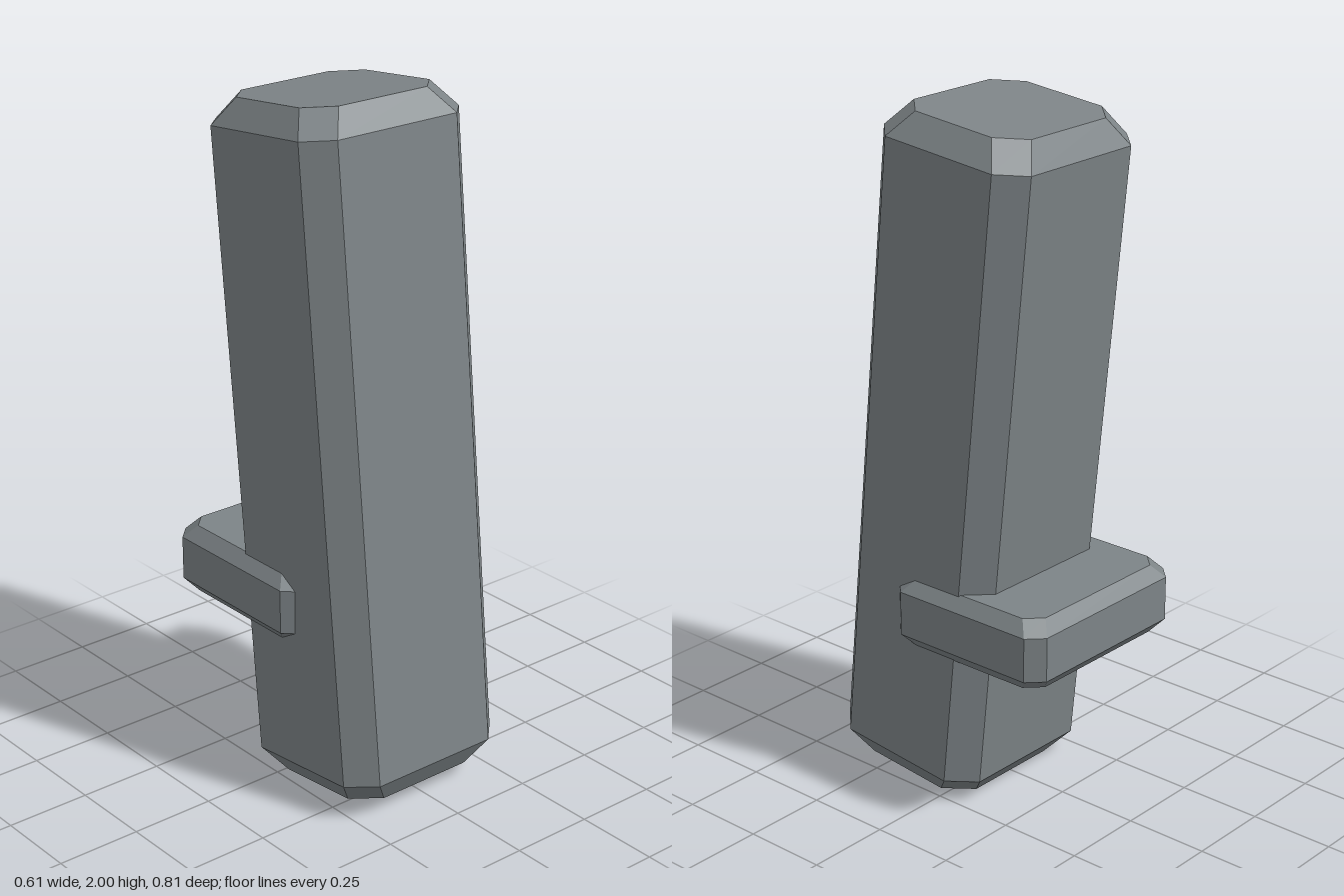
import * as THREE from 'three';

// Eight corners of a rectangle with cut corners, at height y
function ring(hx, hz, cut, y) {
  return [
    [hx, hz - cut], [hx, cut - hz], [hx - cut, -hz], [cut - hx, -hz],
    [-hx, cut - hz], [-hx, hz - cut], [cut - hx, hz], [hx - cut, hz],
  ].map(([x, z]) => new THREE.Vector3(x, y, z));
}

// Block with cut vertical corners and chamfered top and bottom rims
function chamferedBlock({ hx, hy, hz, cut, inset, drop }) {
  const rings = [
    ring(hx - inset, hz - inset, cut, -hy),
    ring(hx, hz, cut, -hy + drop),
    ring(hx, hz, cut, hy - drop),
    ring(hx - inset, hz - inset, cut, hy),
  ];
  const points = [];
  // Side bands
  for (let r = 0; r < 3; r++) {
    for (let i = 0; i < 8; i++) {
      const j = (i + 1) % 8;
      const a = rings[r][i], b = rings[r][j];
      const c = rings[r + 1][j], d = rings[r + 1][i];
      points.push(a, b, c, a, c, d);
    }
  }
  // End caps
  for (let i = 1; i < 7; i++) {
    points.push(rings[3][0], rings[3][i], rings[3][i + 1]);
    points.push(rings[0][0], rings[0][i + 1], rings[0][i]);
  }
  const geometry = new THREE.BufferGeometry().setFromPoints(points);
  geometry.computeVertexNormals();
  return geometry;
}

export function createModel() {
  const group = new THREE.Group();
  group.name = 'leaningPost';

  const grey = new THREE.MeshStandardMaterial({ color: 0x7d8487, flatShading: true });
  grey.name = 'slate grey';

  // Tall post leaning backwards
  const post = new THREE.Mesh(chamferedBlock({
    hx: 0.276, hy: 0.983, hz: 0.258, cut: 0.072, inset: 0.053, drop: 0.073,
  }), grey);
  post.name = 'post';
  post.position.set(0, 1, 0.054);
  post.rotation.x = -0.1;
  group.add(post);

  // Level collar wrapped round the back of the post
  const collar = new THREE.Mesh(chamferedBlock({
    hx: 0.305, hy: 0.104, hz: 0.27, cut: 0.044, inset: 0.033, drop: 0.039,
  }), grey);
  collar.name = 'collar';
  collar.position.set(0, 0.573, -0.135);
  group.add(collar);

  return group;
}
